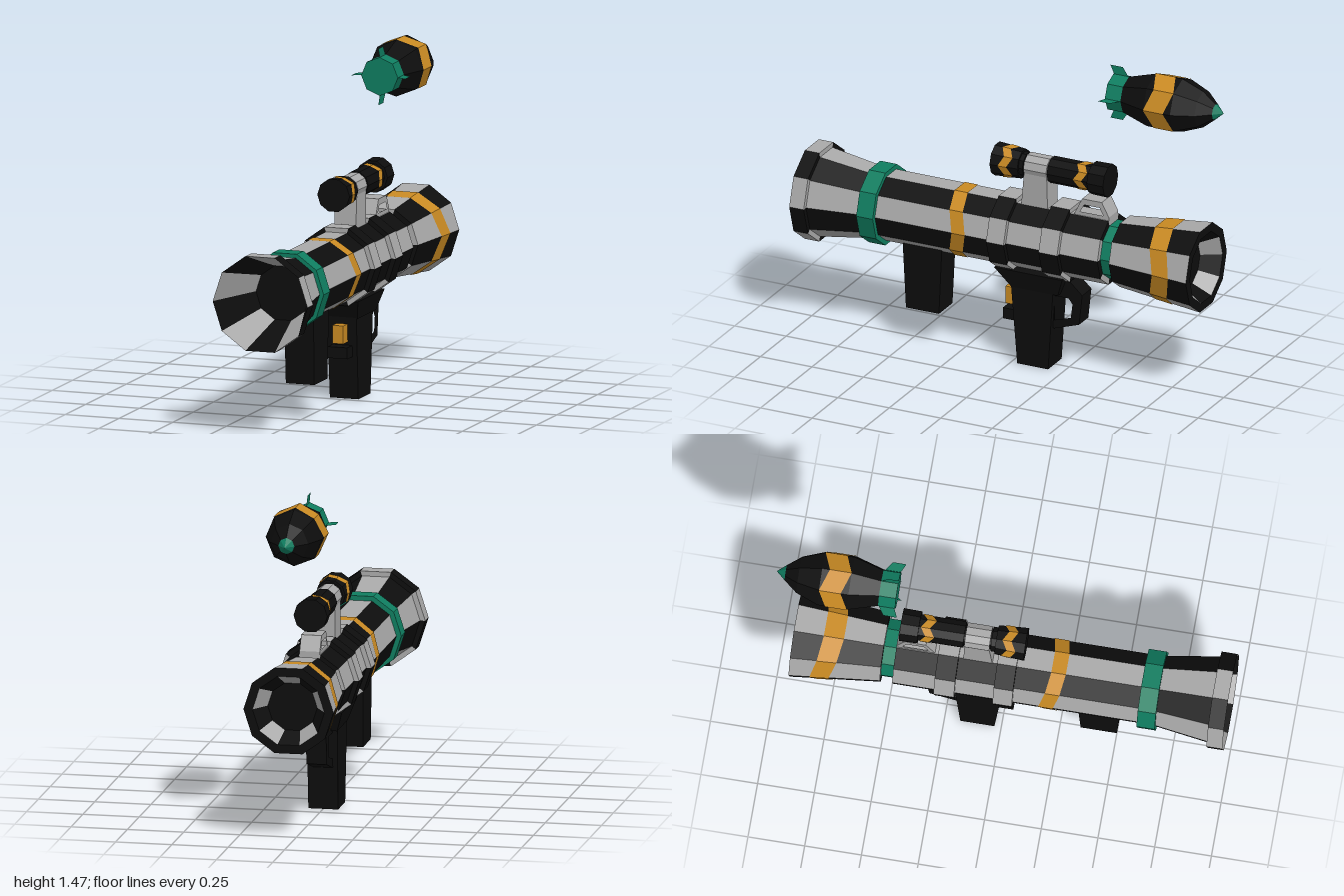
import * as THREE from 'three';

const mat = (name, color, side = THREE.FrontSide) =>
  Object.assign(new THREE.MeshStandardMaterial({ color, flatShading: true, side }), { name });

// Faceted shell around the z axis. Points are [z, radius, shift], listed from back to front on
// the outside; radius may be a function of z, shift is scaled per corner by zig(k).
function shell(points, sides, zig = () => 0) {
  const pos = [], geo = new THREE.BufferGeometry();
  const at = ([z, r, s = 0], k) => {
    const a = (k / sides) * Math.PI * 2, zz = z + s * zig(k % sides);
    const rr = typeof r === 'function' ? r(zz) : r;
    return [rr * Math.cos(a), rr * Math.sin(a), zz];
  };
  for (let k = 0; k < sides; k++) {
    for (let i = 0; i < points.length - 1; i++) {
      const p = points[i], q = points[i + 1];
      const a = at(p, k), b = at(p, k + 1), c = at(q, k + 1), d = at(q, k);
      if (p[1] !== 0) pos.push(...a, ...b, ...c);
      if (q[1] !== 0) pos.push(...a, ...c, ...d);
    }
    const start = geo.groups.reduce((n, g) => n + g.count, 0);
    geo.addGroup(start, pos.length / 3 - start, k % 2);
  }
  geo.setAttribute('position', new THREE.Float32BufferAttribute(pos, 3));
  geo.computeVertexNormals();
  return geo;
}

// Side outline given as [z, y], extruded across x
function sidePlate(outline, width, hole) {
  const v = (l) => l.map(([z, y]) => new THREE.Vector2(-z, y));
  const shape = new THREE.Shape(v(outline));
  if (hole) shape.holes.push(new THREE.Path(v(hole)));
  const geo = new THREE.ExtrudeGeometry(shape, { depth: width, bevelEnabled: false });
  return geo.translate(0, 0, -width / 2).rotateY(Math.PI / 2);
}

// Block with separate x half width and z range at top and bottom
function taperBox(y0, y1, bottom, top) {
  const geo = new THREE.BoxGeometry(2, 1, 1), p = geo.attributes.position;
  for (let i = 0; i < p.count; i++) {
    const up = p.getY(i) > 0, [hx, z0, z1] = up ? top : bottom;
    p.setXYZ(i, p.getX(i) * hx, up ? y1 : y0, p.getZ(i) > 0 ? z1 : z0);
  }
  geo.computeVertexNormals();
  return geo;
}

export function createModel() {
  const black = mat('black', 0x0d0d0d), gray = mat('gray', 0xa9a9a9);
  const orange = mat('orange', 0xc98a23), green = mat('green', 0x0f7d60);
  const greenThin = green;
  greenThin.side = THREE.DoubleSide;
  const striped = [gray, black];
  const model = new THREE.Group();
  const group = (name, y) => {
    const g = new THREE.Group();
    g.name = name;
    g.position.y = y;
    model.add(g);
    return g;
  };
  const add = (parent, name, geo, material) => {
    const m = new THREE.Mesh(geo, material);
    m.name = name;
    parent.add(m);
    return m;
  };

  // Launch tube with alternating gray and black facets
  const tube = group('launchTube', 0.6);
  const R = 0.158;
  const flare = (z) => R + ((-0.52 - z) / 0.395) * 0.042;
  add(tube, 'rearHorn', shell([[-0.83, 0.11], [-0.915, 0.16]], 10), striped);
  add(tube, 'rearRim', shell([[-0.915, 0.16], [-0.915, 0.2]], 10), [black, black]);
  add(tube, 'rearBell', shell([[-0.915, 0.2], [-0.52, R], [-0.52, 0.12]], 10), striped);
  add(tube, 'barrel', shell([[-0.465, 0.12], [-0.465, R], [0.67, R]], 10), striped);
  add(tube, 'frontBell', shell([[0.67, R], [0.93, 0.197], [0.93, 0.22], [1, 0.22], [0.72, 0.125]], 10), striped);
  add(tube, 'rearPlug', shell([[-0.83, 0], [-0.83, 0.11]], 10), [black, black]);
  add(tube, 'frontPlug', shell([[0.72, 0.125], [0.72, 0]], 10), [black, black]);
  for (const [z0, z1] of [[-0.28, -0.19], [-0.02, 0.065]]) {
    add(tube, 'barrelBand', shell([[z0, R], [z0, 0.18], [z1, 0.18], [z1, R]], 10), striped);
  }
  add(tube, 'frontRing', shell([[0.615, R], [0.615, 0.18], [0.695, 0.18], [0.695, R]], 10), [green, green]);
  add(tube, 'rearRing', shell([[-0.53, 0.131], [-0.46, 0.131]], 10), [green, green]);

  // Painted chevrons that point backwards along both sides
  const chevron = (k) => Math.abs(Math.sin((k * Math.PI) / 5)) / 0.951;
  add(tube, 'barrelChevron', shell([[0.178, R + 0.003, 0.04], [0.242, R + 0.003, 0.04]], 10, chevron), [orange, orange]);
  const onFlare = (z) => flare(z) + 0.003;
  add(tube, 'bellChevron', shell([[-0.825, onFlare, 0.042], [-0.742, onFlare, 0.047]], 10, chevron), [orange, orange]);

  // Scope with its mount
  const scope = group('scope', 0.92);
  add(scope, 'scopeBody', shell([
    [-0.45, 0], [-0.45, 0.075], [-0.37, 0.073], [-0.37, 0.06], [-0.17, 0.06], [-0.17, 0.048],
    [-0.05, 0.048], [-0.05, 0.056], [-0.03, 0.056], [-0.03, 0.066], [0.1, 0.075], [0.1, 0],
  ], 10), [black, black]);
  const zigzag = (k) => (k % 2 ? -1 : 1);
  const bell = (z) => 0.0685 + ((z + 0.03) / 0.13) * 0.009;
  add(scope, 'frontScopeStripe', shell([[0.01, bell, 0.012], [0.05, bell, 0.012]], 10, zigzag), [orange, orange]);
  add(scope, 'rearScopeStripe', shell([[-0.35, 0.063, 0.012], [-0.31, 0.063, 0.012]], 10, zigzag), [orange, orange]);
  add(scope, 'mountRing', shell([
    [-0.165, 0.04], [-0.165, 0.057], [-0.055, 0.057], [-0.055, 0.04],
  ], 10), [gray, gray]);
  add(model, 'scopeMount', taperBox(0.73, 0.9, [0.05, -0.17, -0.04], [0.05, -0.165, -0.055]), gray);

  // Rear sight loop
  add(model, 'rearSight', sidePlate(
    [[-0.29, 0.74], [-0.335, 0.83], [-0.43, 0.83], [-0.465, 0.765], [-0.465, 0.74]], 0.09,
    [[-0.325, 0.768], [-0.345, 0.803], [-0.42, 0.803], [-0.438, 0.768]]), gray);

  // Grips, guard and trigger
  add(model, 'frontGrip', taperBox(0.16, 0.47, [0.066, 0.35, 0.51], [0.068, 0.335, 0.525]), black);
  add(model, 'receiver', taperBox(0.36, 0.45, [0.072, -0.23, -0.005], [0.1, -0.265, 0.065]), black);
  add(model, 'mainGrip', taperBox(0, 0.38, [0.066, -0.18, -0.03], [0.068, -0.205, 0]), black);
  add(model, 'rearGuard', sidePlate(
    [[-0.15, 0.43], [-0.27, 0.43], [-0.335, 0.37], [-0.32, 0.23], [-0.2, 0.19], [-0.15, 0.19]], 0.09,
    [[-0.2, 0.345], [-0.27, 0.345], [-0.288, 0.32], [-0.28, 0.255], [-0.2, 0.23]]), black);
  add(model, 'triggerRest', taperBox(0.19, 0.24, [0.045, -0.05, 0.05], [0.045, -0.05, 0.05]), black);
  add(model, 'trigger', taperBox(0.255, 0.335, [0.025, -0.02, 0.047], [0.025, -0.02, 0.047]), orange);

  // Rocket floating above the rear of the tube
  const rocket = group('rocket', 1.345);
  add(rocket, 'rocketBody', shell([
    [-0.96, 0.036], [-0.9, 0.085], [-0.8, 0.125], [-0.67, 0.125], [-0.54, 0.085],
  ], 8), [black, black]);
  add(rocket, 'rocketTip', shell([[-1, 0], [-0.96, 0.036]], 8), [green, green]);
  add(rocket, 'rocketTail', shell([[-0.54, 0.085], [-0.465, 0.085], [-0.465, 0]], 8), [green, green]);
  add(rocket, 'rocketStripe', shell([[-0.783, 0.1275, 0.017], [-0.687, 0.1275, 0.017]], 8, zigzag), [orange, orange]);
  const fin = new THREE.ShapeGeometry(new THREE.Shape(
    [[0.54, 0.08], [0.51, 0.125], [0.45, 0.125], [0.47, 0.08]].map((p) => new THREE.Vector2(...p)))).rotateY(Math.PI / 2);
  for (let i = 0; i < 4; i++) add(rocket, 'rocketFin', fin, greenThin).rotation.z = (i * Math.PI) / 2;

  return model;
}
